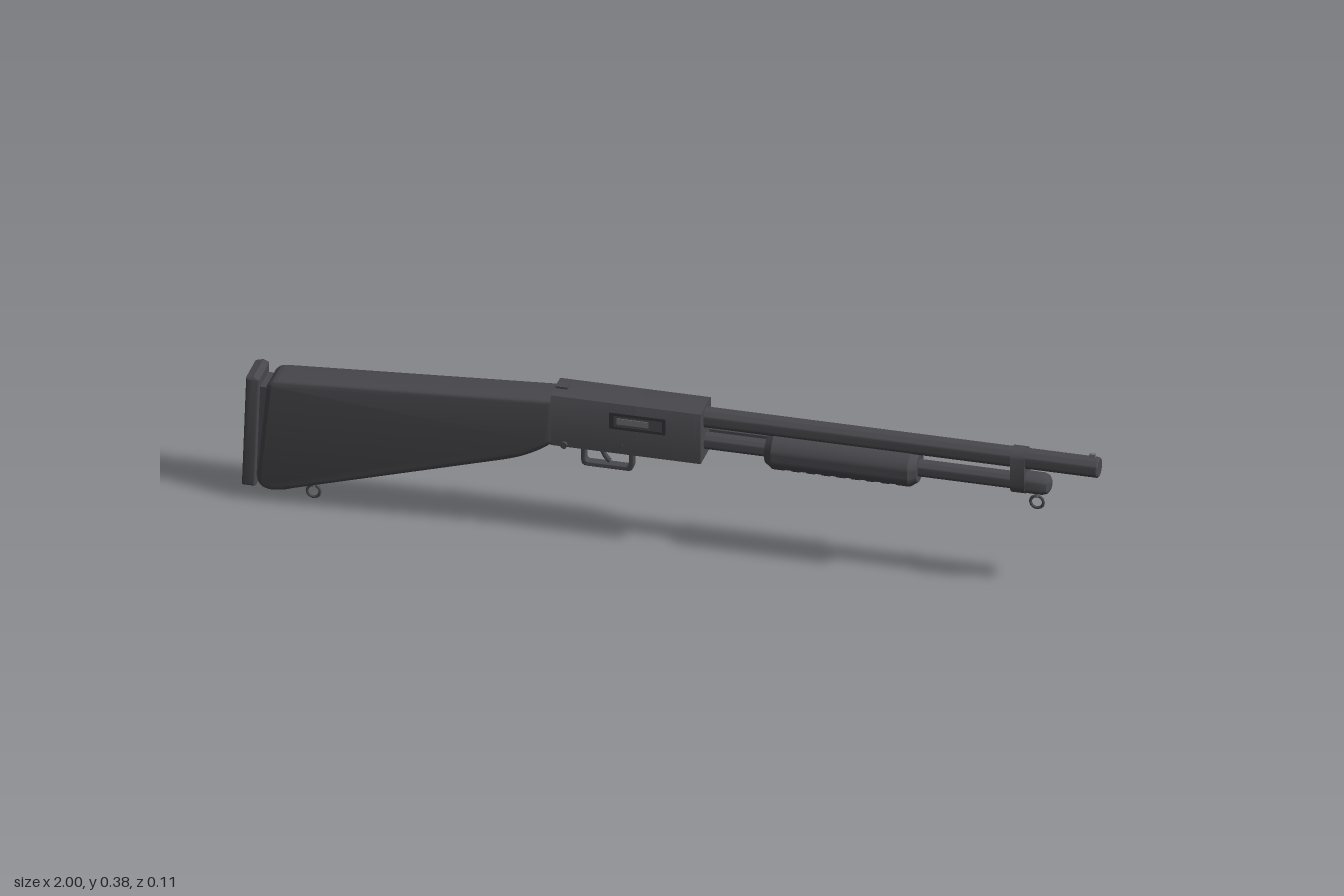
import * as THREE from 'three';
import { toCreasedNormals } from 'three/addons/utils/BufferGeometryUtils.js';

const V2 = (a) => a.map(([x, y]) => new THREE.Vector2(x, y));

export function createModel() {
  const model = new THREE.Group();
  const mat = (name, color) => {
    const m = new THREE.MeshStandardMaterial({ color });
    m.name = name;
    return m;
  };
  const gunmetal = mat('gunmetal', 0x49484d);
  const steel = mat('steel', 0x707075);
  const shade = mat('shadow metal', 0x333337);

  const add = (name, geo, x = 0, y = 0, z = 0, material = gunmetal) => {
    const m = new THREE.Mesh(geo, material);
    m.name = name;
    m.position.set(x, y, z);
    model.add(m);
    return m;
  };
  const box = (name, x0, x1, y0, y1, z0, z1, material) =>
    add(name, new THREE.BoxGeometry(x1 - x0, y1 - y0, z1 - z0), (x0 + x1) / 2, (y0 + y1) / 2, (z0 + z1) / 2, material);
  // Round part along x; profile pairs are [x, radius]
  const turned = (name, profile, y) => {
    const geo = new THREE.LatheGeometry(V2(profile.map(([x, r]) => [r, x])), 32);
    geo.rotateZ(-Math.PI / 2);
    return add(name, toCreasedNormals(geo, 0.6), 0, y);
  };
  // Side profile extruded across z with rounded edges
  const slab = (name, shape, halfWidth, bevel) => {
    const geo = new THREE.ExtrudeGeometry(shape, {
      depth: 2 * (halfWidth - bevel), bevelSize: bevel, bevelThickness: bevel,
      bevelOffset: -bevel, bevelSegments: 3, curveSegments: 8,
    });
    geo.translate(0, 0, -(halfWidth - bevel));
    return add(name, toCreasedNormals(geo, 0.6));
  };
  // Cross-section of [z, y] points extruded along x
  const along = (name, points, x0, x1, material) => {
    const geo = new THREE.ExtrudeGeometry(new THREE.Shape(V2(points.map(([z, y]) => [-z, y]))), { depth: x1 - x0, bevelEnabled: false });
    geo.rotateY(Math.PI / 2);
    return add(name, toCreasedNormals(geo, 0.5), x0, 0, 0, material);
  };

  // Stock
  const stock = new THREE.Shape();
  stock.moveTo(-0.27, 0.356);
  stock.lineTo(-0.915, 0.314);
  stock.quadraticCurveTo(-0.94, 0.312, -0.944, 0.29);
  stock.lineTo(-0.966, 0.06);
  stock.quadraticCurveTo(-0.965, 0.03, -0.93, 0.029);
  stock.quadraticCurveTo(-0.905, 0.03, -0.88, 0.04);
  stock.lineTo(-0.39, 0.183);
  stock.quadraticCurveTo(-0.32, 0.203, -0.27, 0.245);
  slab('stock', stock, 0.046, 0.012);

  // Butt pad
  const pad = new THREE.Shape(V2([[-0.99, 0.313], [-0.972, 0.318], [-0.958, 0.312], [-0.968, 0.036], [-1, 0.036]]));
  slab('buttPad', pad, 0.047, 0.006);
  box('buttPadSpacer', -0.975, -0.94, 0.06, 0.29, -0.036, 0.036);

  // Receiver, with a loading port open at the bottom
  const w = 0.046, top = 0.371, base = 0.242;
  const crown = [[w, top - 0.009], [w - 0.003, top - 0.003], [w - 0.009, top], [-w + 0.009, top], [-w + 0.003, top - 0.003], [-w, top - 0.009]];
  const solid = [[w, base], ...crown, [-w, base]];
  const channel = [...solid, [-0.031, base], [-0.031, 0.29], [0.031, 0.29], [0.031, base]];
  along('receiverRear', solid, -0.275, -0.075);
  along('receiverMiddle', channel, -0.075, 0.062);
  along('receiverFront', solid, 0.062, 0.077);
  box('receiverTang', -0.273, -0.245, 0.36, 0.376, -0.012, 0.012);
  const carrier = box('shellCarrier', -0.073, 0.05, 0.262, 0.269, -0.025, 0.025);
  carrier.rotation.z = 0.15;

  // Ejection port and bolt
  const frame = new THREE.Shape(V2([[-0.137, 0.305], [-0.005, 0.305], [-0.005, 0.346], [-0.137, 0.346]]));
  frame.holes.push(new THREE.Path(V2([[-0.127, 0.312], [-0.127, 0.339], [-0.013, 0.339], [-0.013, 0.312]])));
  add('ejectionPortFrame', new THREE.ExtrudeGeometry(frame, { depth: 0.003, bevelEnabled: false }), 0, 0, w - 0.001, shade);
  box('ejectionPortFloor', -0.127, -0.013, 0.312, 0.339, w - 0.001, w + 0.0005, gunmetal);
  box('bolt', -0.12, -0.045, 0.318, 0.333, w - 0.002, w + 0.0025, steel);

  // Cross pins
  for (const [x, y, r, half] of [[-0.243, 0.248, 0.008, 0.053], [-0.11, 0.262, 0.005, 0.048]]) {
    const pin = add('crossPin', new THREE.CylinderGeometry(r, r, 2 * half, 16), x, y);
    pin.rotation.x = Math.PI / 2;
  }

  // Trigger guard and trigger
  const loop = (x0, x1, y0, y1, r, P) => {
    const p = new P();
    p.moveTo(x0, y1);
    p.lineTo(x0, y0 + r);
    p.quadraticCurveTo(x0, y0, x0 + r, y0);
    p.lineTo(x1 - r, y0);
    p.quadraticCurveTo(x1, y0, x1, y0 + r);
    p.lineTo(x1, y1);
    p.closePath();
    return p;
  };
  const guard = loop(-0.213, -0.091, 0.18, 0.247, 0.014, THREE.Shape);
  guard.holes.push(loop(-0.203, -0.101, 0.19, 0.24, 0.008, THREE.Path));
  slab('triggerGuard', guard, 0.011, 0.0015);
  const bend = new THREE.QuadraticBezierCurve3(
    new THREE.Vector3(-0.165, 0.25, 0), new THREE.Vector3(-0.172, 0.215, 0), new THREE.Vector3(-0.148, 0.195, 0));
  add('trigger', new THREE.TubeGeometry(bend, 12, 0.006, 10));

  // Barrel and front sight
  const by = 0.34, my = 0.28;
  turned('barrel', [[0.07, 0], [0.07, 0.024], [0.997, 0.024], [1, 0.021], [1, 0]], by);
  box('frontSight', 0.976, 0.99, by + 0.02, 0.373, -0.004, 0.004, steel);

  // Magazine tube and end cap
  turned('magazineTube', [[0.07, 0], [0.07, 0.02], [0.84, 0.02], [0.84, 0]], my);
  turned('magazineCap', [[0.83, 0], [0.83, 0.026], [0.868, 0.026], [0.88, 0.022], [0.886, 0.013], [0.888, 0]], my);

  // Clamp joining barrel and tube
  const clamp = [];
  for (let i = 0; i <= 24; i++) {
    const a = (i / 24) * Math.PI * 2;
    clamp.push([0.028 * Math.cos(a), (i <= 12 ? by : my) + 0.027 * Math.sin(a)]);
  }
  along('barrelClamp', clamp, 0.797, 0.83);

  // Pump grip with cross grooves cut in the underside
  const grip = [[0.222, 0], [0.222, 0.034], [0.24, 0.046]];
  const grooves = new Set();
  for (let i = 0; i < 8; i++) {
    const x = 0.268 + i * 0.035;
    grip.push([x, 0.046], [x + 0.0005, 0.046], [x + 0.0165, 0.046], [x + 0.017, 0.046]);
    grooves.add(grip.length - 3).add(grip.length - 2);
  }
  grip.push([0.56, 0.046], [0.578, 0.034], [0.578, 0]);
  const gripGeo = new THREE.LatheGeometry(V2(grip.map(([x, r]) => [r, x])), 32);
  gripGeo.rotateZ(-Math.PI / 2);
  const pos = gripGeo.attributes.position;
  for (let i = 0; i < pos.count; i++) {
    if (grooves.has(i % grip.length)) pos.setY(i, Math.max(pos.getY(i), -0.034));
  }
  add('pumpGrip', toCreasedNormals(gripGeo, 0.5), 0, my);
  box('actionBar', 0.07, 0.24, 0.272, 0.292, -0.038, -0.031);

  // Sling rings on short studs
  for (const [name, x, y, studTop] of [['rearSling', -0.843, 0.0185, 0.055], ['frontSling', 0.853, 0.231, 0.262]]) {
    add(name + 'Ring', new THREE.TorusGeometry(0.015, 0.0035, 8, 24), x, y);
    const h = studTop - (y + 0.012);
    add(name + 'Stud', new THREE.CylinderGeometry(0.005, 0.005, h, 12), x, y + 0.012 + h / 2, 0, steel);
  }
  return model;
}
